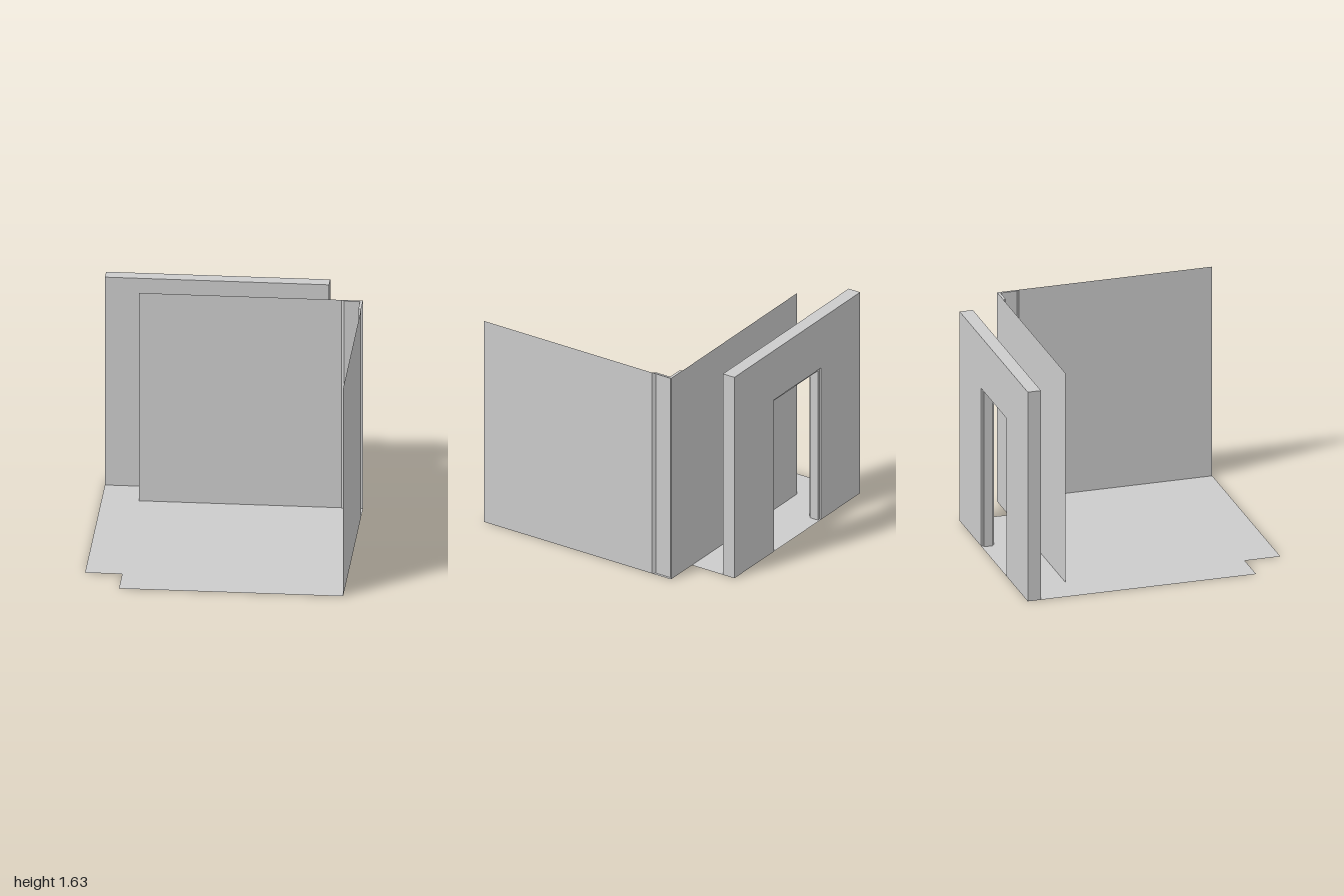
import * as THREE from 'three';

const H = 1.63; // wall height

export function createModel() {
  const model = new THREE.Group();
  const solid = new THREE.MeshStandardMaterial({ color: 0xcccccc, flatShading: true });
  const sheet = new THREE.MeshStandardMaterial({ color: 0xcccccc, flatShading: true, side: THREE.DoubleSide });

  const add = (name, geometry, material) => {
    const mesh = new THREE.Mesh(geometry, material);
    mesh.name = name;
    model.add(mesh);
    return mesh;
  };
  const shapeOf = (pts) => new THREE.Shape(pts.map(([x, y]) => new THREE.Vector2(x, y)));

  // Horizontal sheet from an outline of [x, z] points
  const flat = (pts, y) => new THREE.ShapeGeometry(shapeOf(pts)).rotateX(Math.PI / 2).translate(0, y, 0);

  // Upright sheet following a path of [x, z] points
  const upright = (pts) => {
    const pos = [], index = [];
    pts.forEach(([x, z], i) => {
      pos.push(x, 0, z, x, H, z);
      const a = 2 * i;
      if (i) index.push(a - 2, a, a - 1, a, a + 1, a - 1);
    });
    const g = new THREE.BufferGeometry();
    g.setAttribute('position', new THREE.Float32BufferAttribute(pos, 3));
    g.setIndex(index);
    const out = g.toNonIndexed();
    out.computeVertexNormals();
    return out;
  };

  // Slab with a doorway that reaches the ground
  const doorSlab = (x0, x1, h, d0, d1, dh, z0, z1) =>
    new THREE.ExtrudeGeometry(
      shapeOf([[x0, 0], [d0, 0], [d0, dh], [d1, dh], [d1, 0], [x1, 0], [x1, h], [x0, h]]),
      { depth: z1 - z0, bevelEnabled: false }
    ).translate(0, 0, z0);

  // Floor with two notched corners
  add('floor', flat([
    [-0.95, -1], [0.675, -1], [0.675, -0.63], [0.945, -0.63],
    [0.945, 1], [-0.68, 1], [-0.68, 0.73], [-0.95, 0.73]
  ], 0), sheet);

  // Thick back wall and the door frame set slightly inside its opening
  add('backWall', doorSlab(-0.95, 0.675, H, -0.445, 0.165, 1.23, -1, -0.9), solid);
  add('doorFrame', doorSlab(-0.445, 0.165, 1.23, -0.425, 0.145, 1.21, -0.985, -0.915), solid);

  // Thin inner wall
  add('innerWall', upright([[-0.68, -0.63], [0.945, -0.63]]), sheet);

  // Thin side wall that steps inward around the corner post
  const post = [[0.945, -0.465], [0.925, -0.485], [0.925, -0.61], [0.81, -0.61], [0.79, -0.63]];
  add('sideWall', upright([[0.945, 1], post[0]]), sheet);
  add('cornerPost', upright(post), sheet);
  add('cornerPostCap', flat([...post, [0.945, -0.63]], H), sheet);

  return model;
}
